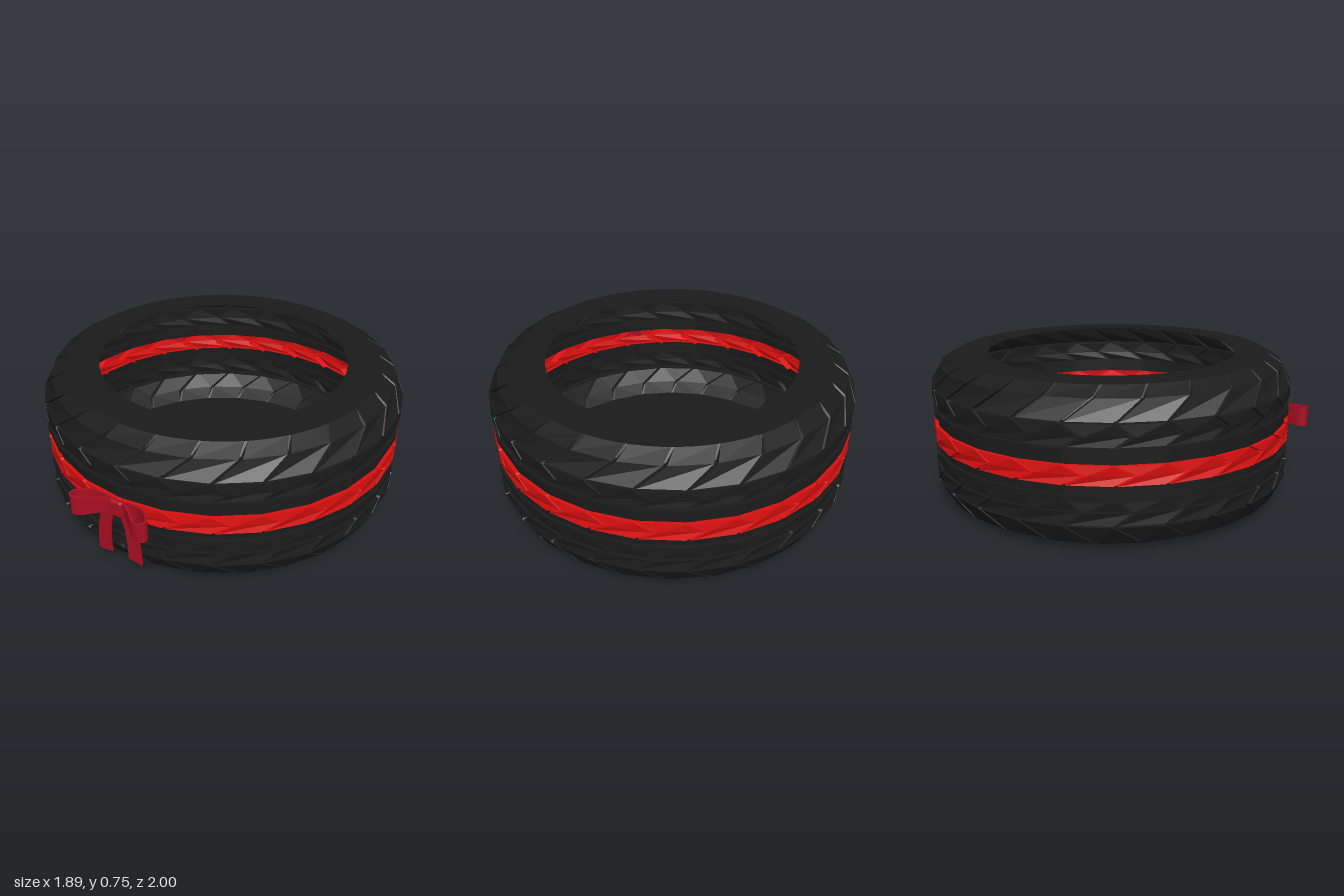
import * as THREE from 'three';
import { toCreasedNormals } from 'three/addons/utils/BufferGeometryUtils.js';
import { RoundedBoxGeometry } from 'three/addons/geometries/RoundedBoxGeometry.js';

const PITCHES = 26;       // tread blocks around the tyre
const MID = 0.3725;       // half the tyre height
const GROOVE = 0.09;      // groove width as a share of one block

const paint = (color, flat) => new THREE.MeshStandardMaterial({
  color, flatShading: flat, side: THREE.DoubleSide, roughness: 0.9,
});

// Surface through rows of points: fn(row, column) returns [x, y, z]; columns wrap round.
function grid(rows, cols, fn) {
  const pos = [], idx = [];
  for (let i = 0; i < rows; i++) {
    for (let j = 0; j < cols; j++) {
      pos.push(...fn(i, j));
      if (i === rows - 1) continue;
      const k = (j + 1) % cols;
      const a = i * cols + j, b = i * cols + k;
      idx.push(a, b, b + cols, a, b + cols, a + cols);
    }
  }
  const g = new THREE.BufferGeometry();
  g.setAttribute('position', new THREE.Float32BufferAttribute(pos, 3));
  g.setIndex(idx);
  g.computeVertexNormals();
  return g;
}

// Ring of blocks. Each row: [height from middle, radius, sideways shift, groove depth].
function treadRing(rows) {
  const across = [[0, 0], [0.25 * GROOVE, 1], [0.75 * GROOVE, 1], [GROOVE, 0]];
  return grid(rows.length, PITCHES * across.length, (i, j) => {
    const [dy, r, shift, depth] = rows[i];
    const [t, cut] = across[j % across.length];
    const a = (Math.floor(j / across.length) + t + shift) / PITCHES * Math.PI * 2;
    const rad = r - cut * depth;
    return [Math.sin(a) * rad, MID + dy, Math.cos(a) * rad];
  });
}

export function createModel() {
  const model = new THREE.Group();
  model.name = 'giftTyre';
  const rubber = paint(0x1b1b1b, true);
  const red = paint(0xd90f0f, true);
  const satin = paint(0xa80f22, false);
  const add = (parent, name, geo, mat) => {
    const m = new THREE.Mesh(geo, mat);
    m.name = name;
    parent.add(m);
    return m;
  };

  const tyre = new THREE.Group();
  tyre.name = 'tyre';
  tyre.position.z = -0.055;
  model.add(tyre);

  // Upper half of the tread, from the red band out to the sidewall
  const half = [
    [0.046, 0.927, 0, 0], [0.092, 0.927, 0, 0],
    [0.092, 0.945, 0, 0], [0.122, 0.945, 0, 0],
    [0.122, 0.927, 0, 0], [0.172, 0.927, 0.35, 0],
    [0.172, 0.945, 0.35, 0.025], [0.230, 0.945, 0, 0.025],
    [0.231, 0.915, 0, 0], [0.238, 0.915, 0, 0],
    [0.239, 0.945, 0, 0.025], [0.330, 0.898, 0.55, 0.025],
    [0.3725, 0.82, 0.7, 0],
  ];
  const lower = half.map(([dy, ...rest]) => [-dy, ...rest]).reverse();
  add(tyre, 'upperTread', treadRing(half), rubber);
  add(tyre, 'lowerTread', treadRing(lower), rubber);

  // Red centre band with arrow grooves
  add(tyre, 'redBand', treadRing([
    [-0.046, 0.925, 0, 0], [-0.046, 0.945, 0, 0.04],
    [0, 0.945, 0.4, 0.04],
    [0.046, 0.945, 0, 0.04], [0.046, 0.925, 0, 0],
  ]), red);

  // Open upper sidewall and closed base
  const sidewall = add(tyre, 'upperSidewall', new THREE.RingGeometry(0.65, 0.82, 78), rubber);
  sidewall.rotation.x = -Math.PI / 2;
  sidewall.position.y = MID * 2;
  const base = add(tyre, 'base', new THREE.CircleGeometry(0.82, 78), rubber);
  base.rotation.x = Math.PI / 2;

  // Bow loop: a thick strip swept along a teardrop seen from above
  const path = new THREE.CatmullRomCurve3([
    [0, 0.895], [0.06, 0.889], [0.12, 0.892], [0.18, 0.925], [0.21, 0.965],
    [0.195, 0.99], [0.155, 0.985], [0.105, 0.945], [0.055, 0.908], [0, 0.9],
  ].map(([x, z]) => new THREE.Vector3(x, 0, z)));
  const steps = 40;
  const loopGeo = toCreasedNormals(grid(steps + 1, 4, (i, j) => {
    const p = path.getPoint(i / steps), t = path.getTangent(i / steps);
    const side = (j === 1 || j === 2 ? 1 : -1) * 0.005;
    const h = (j < 2 ? 1 : -1) * (0.036 + 0.017 * Math.min(1, p.x / 0.2));
    return [p.x - t.z * side, 0.38 + h, p.z + t.x * side];
  }), 0.8);

  // Hanging tail, curving outwards to a slanted end
  const tail = new THREE.Shape();
  tail.moveTo(0.015, 0.36);
  tail.quadraticCurveTo(0.058, 0.24, 0.048, 0.095);
  tail.lineTo(0.128, 0.086);
  tail.quadraticCurveTo(0.128, 0.24, 0.085, 0.36);
  tail.closePath();
  const tailGeo = new THREE.ExtrudeGeometry(tail, { depth: 0.008, bevelEnabled: false, curveSegments: 10 });
  tailGeo.translate(0, 0, 0.9);

  const bow = new THREE.Group();
  bow.name = 'bow';
  bow.position.x = 0.01;
  model.add(bow);
  for (const [s, side] of [[1, 'left'], [-1, 'right']]) {
    const wing = new THREE.Group();
    wing.name = side + 'BowHalf';
    wing.scale.x = s;
    bow.add(wing);
    add(wing, side + 'Loop', loopGeo, satin);
    add(wing, side + 'Tail', tailGeo, satin);
  }
  const knot = add(bow, 'knot', new RoundedBoxGeometry(0.075, 0.092, 0.034, 3, 0.014), satin);
  knot.position.set(0, 0.38, 0.902);

  return model;
}
